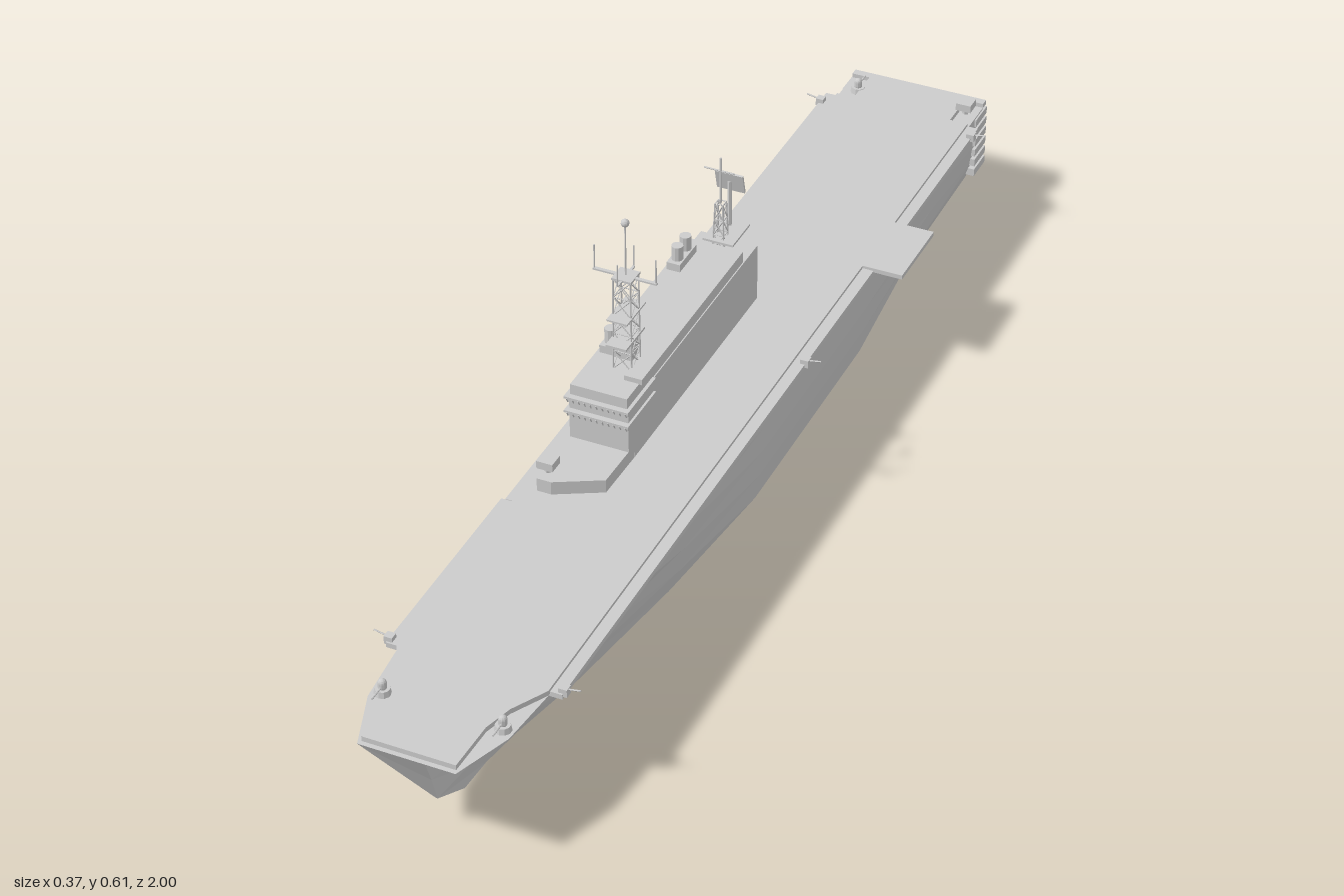
import * as THREE from 'three';

const CX = -0.013; // hull centreline
const mat = new THREE.MeshStandardMaterial({ color: 0xcccccc, flatShading: true, side: THREE.DoubleSide });

export function createModel() {
  const model = new THREE.Group();
  model.name = 'assaultShip';

  const add = (geo, name, x = 0, y = 0, z = 0, parent = model) => {
    const m = new THREE.Mesh(geo, mat);
    m.name = name;
    m.position.set(x, y, z);
    parent.add(m);
    return m;
  };
  // box from its limits
  const box = (name, x0, x1, y0, y1, z0, z1) =>
    add(new THREE.BoxGeometry(x1 - x0, y1 - y0, z1 - z0), name, (x0 + x1) / 2, (y0 + y1) / 2, (z0 + z1) / 2);
  // plate with an outline of [x, z] points
  const plate = (name, pts, y0, y1) => {
    const shape = new THREE.Shape(pts.map(([x, z]) => new THREE.Vector2(x, -z)));
    const geo = new THREE.ExtrudeGeometry(shape, { depth: y1 - y0, bevelEnabled: false });
    return add(geo.rotateX(-Math.PI / 2), name, 0, y0, 0);
  };
  // thin rod between two points
  const rod = (name, a, b, r = 0.0015) => {
    const p = new THREE.Vector3(...a), q = new THREE.Vector3(...b);
    const d = q.clone().sub(p);
    const m = add(new THREE.CylinderGeometry(r, r, d.length(), 5), name);
    m.position.copy(p).add(q).multiplyScalar(0.5);
    m.quaternion.setFromUnitVectors(new THREE.Vector3(0, 1, 0), d.normalize());
    return m;
  };

  // Hull: half-widths per station from deck edge down to keel
  const stations = [
    [1.0, 0.08, 0.03, 0.002, 0.001, 0.001, 0.001],
    [0.9, 0.116, 0.06, 0.03, 0.015, 0.01, 0.004],
    [0.78, 0.127, 0.09, 0.06, 0.035, 0.027, 0.016],
    [0.55, 0.127, 0.116, 0.095, 0.075, 0.062, 0.048],
    [0.28, 0.127, 0.125, 0.12, 0.113, 0.104, 0.085],
    [0.0, 0.127, 0.127, 0.126, 0.124, 0.12, 0.113],
    [-0.45, 0.127, 0.127, 0.126, 0.124, 0.12, 0.113],
    [-0.75, 0.127, 0.127, 0.126, 0.123, 0.117, 0.1],
    [-0.985, 0.127, 0.127, 0.126, 0.124, 0.12, 0.11],
  ];
  const heights = [1, 0.88, 0.75, 0.5, 0.25, 0];
  const stem = [1, 0.975, 0.95, 0.93, 0.915, 0.83];
  const n = heights.length * 2;
  const pos = [], idx = [];
  stations.forEach(([z, ...w]) => {
    const keel = z < -0.42 ? ((-0.42 - z) / 0.565) * 0.06 : 0;
    const point = (k, side) => {
      let pz = z > 0.5 ? 0.5 + (z - 0.5) * (stem[k] - 0.5) * 2 : z;
      if (z < -0.9) pz += (1 - heights[k]) * 0.025;
      pos.push(CX + side * w[k], keel + (0.195 - keel) * heights[k], pz);
    };
    for (let k = 0; k < 6; k++) point(k, -1);
    for (let k = 5; k >= 0; k--) point(k, 1);
  });
  for (let s = 0; s < stations.length - 1; s++)
    for (let k = 0; k < n; k++) {
      const a = s * n + k, b = s * n + (k + 1) % n, c = a + n, d = b + n;
      idx.push(a, c, b, b, c, d);
    }
  const last = (stations.length - 1) * n;
  for (let k = 1; k < n - 1; k++) {
    idx.push(0, k, k + 1);
    idx.push(last, last + k + 1, last + k);
  }
  const hullGeo = new THREE.BufferGeometry();
  hullGeo.setAttribute('position', new THREE.Float32BufferAttribute(pos, 3));
  hullGeo.setIndex(idx);
  hullGeo.computeVertexNormals();
  add(hullGeo, 'hull');

  // Flight deck, catwalks and deck-edge lift
  plate('flightDeck', [
    [-0.09, 0.992], [0.064, 0.992], [0.066, 0.9], [0.08, 0.85], [0.113, 0.79], [0.113, -0.91],
    [0.08, -0.91], [0.08, -0.985], [-0.106, -0.985], [-0.106, -0.91], [-0.139, -0.91], [-0.139, 0.79],
    [-0.106, 0.85], [-0.092, 0.9],
  ], 0.193, 0.204);
  box('catwalk', -0.16, -0.13, 0.19, 0.199, -0.91, -0.4);
  box('catwalk', -0.153, -0.13, 0.193, 0.2, -0.4, 0.4);
  box('catwalk', -0.16, -0.13, 0.19, 0.199, 0.4, 0.785);
  box('catwalk', 0.1, 0.133, 0.19, 0.199, -0.91, 0.785);
  box('deckEdgeLift', 0.11, 0.185, 0.196, 0.204, -0.565, -0.42);

  // Stern: gate, cross beams and stepped corner posts
  box('sternRail', -0.14, 0.114, 0.194, 0.203, -1.0, -0.985);
  box('sternBeam', -0.12, 0.094, 0.115, 0.125, -0.995, -0.97);
  box('sternGate', -0.07, 0.044, 0.135, 0.18, -0.989, -0.975);
  for (const side of [-1, 1])
    for (let i = 0; i < 6; i++) {
      const x = CX + side * 0.12, y = 0.073 + i * 0.021;
      box('sternCornerStep', x - 0.01, x + 0.01, y, y + 0.014, -0.998, -0.945);
    }

  // Island
  box('islandBase', -0.115, -0.012, 0.2, 0.31, -0.26, 0.225);
  box('islandUpperDeck', -0.113, -0.014, 0.31, 0.331, -0.205, 0.245);
  plate('islandFrontDeck', [[-0.115, 0.22], [-0.012, 0.22], [-0.014, 0.325], [-0.09, 0.365], [-0.115, 0.365]], 0.2, 0.228);
  box('islandAftHouse', -0.095, -0.035, 0.2, 0.265, -0.28, -0.25);
  box('bridgeFace', -0.115, -0.012, 0.228, 0.31, 0.22, 0.245);
  for (const y of [0.273, 0.3]) {
    // flared window band with mullions
    plate('bridgeWing', [[-0.12, 0.15], [-0.008, 0.15], [-0.008, 0.255], [-0.12, 0.255]], y + 0.008, y + 0.012);
    box('bridgeWindows', -0.117, -0.011, y, y + 0.008, 0.155, 0.25);
    for (let i = 0; i < 11; i++) {
      const x = -0.115 + i * 0.0102;
      rod('windowMullion', [x, y, 0.25], [x, y + 0.009, 0.255], 0.0012);
    }
  }
  box('flagPlatform', -0.04, -0.009, 0.33, 0.34, 0.1, 0.2);
  for (const z of [0.115, -0.14]) {
    box('funnelHousing', -0.108, -0.084, 0.33, 0.345, z - 0.033, z + 0.033);
    for (const dz of [-0.016, 0.016])
      add(new THREE.CylinderGeometry(0.01, 0.01, 0.04, 10), 'funnel', -0.096, 0.351, z + dz);
  }

  // Lattice mast
  const lattice = (name, cx, cz, r0, r1, y0, y1, bays) => {
    const ring = (i) => {
      const t = i / bays, r = r0 + (r1 - r0) * t, y = y0 + (y1 - y0) * t;
      return [[-1, -1], [1, -1], [1, 1], [-1, 1]].map(([sx, sz]) => [cx + sx * r, y, cz + sz * r]);
    };
    for (let i = 0; i < bays; i++) {
      const lo = ring(i), hi = ring(i + 1);
      for (let k = 0; k < 4; k++) {
        const next = (k + 1) % 4;
        rod(name + 'Leg', lo[k], hi[k]);
        rod(name + 'Rung', hi[k], hi[next], 0.001);
        rod(name + 'Brace', lo[k], hi[next], 0.001);
        rod(name + 'Brace', lo[next], hi[k], 0.001);
      }
    }
  };
  const MX = -0.054, MZ = 0.16;
  lattice('mainMast', MX, MZ, 0.016, 0.015, 0.33, 0.5, 5);
  box('mastCabin', -0.082, -0.05, 0.33, 0.387, 0.125, 0.15);
  box('mastPlatform', -0.072, -0.036, 0.432, 0.435, 0.125, 0.195);
  box('mastPlatform', -0.072, -0.036, 0.386, 0.39, 0.13, 0.2);
  box('mastTop', -0.071, -0.037, 0.499, 0.503, 0.143, 0.177);
  box('yardArm', -0.11, 0, 0.499, 0.502, 0.157, 0.163);
  box('yardArm', MX - 0.002, MX + 0.002, 0.499, 0.502, 0.13, 0.19);
  for (const x of [-0.108, -0.002]) rod('whipAntenna', [x, 0.5, MZ], [x, 0.545, MZ], 0.0014);
  for (const z of [0.13, 0.19]) rod('whipAntenna', [MX, 0.5, z], [MX, 0.54, z], 0.0012);
  rod('mastPole', [MX, 0.5, MZ], [MX, 0.595, MZ]);
  add(new THREE.SphereGeometry(0.007, 10, 8), 'mastBall', MX, 0.6, MZ);

  // Aft mast with radar panel
  lattice('aftMast', -0.065, -0.228, 0.01, 0.007, 0.31, 0.4, 3);
  rod('aftMastPole', [-0.065, 0.4, -0.228], [-0.065, 0.487, -0.228], 0.002);
  rod('aftYard', [-0.095, 0.462, -0.228], [-0.04, 0.462, -0.228]);
  rod('radarPost', [-0.065, 0.265, -0.265], [-0.065, 0.42, -0.265], 0.004);
  box('aftMastPlatform', -0.09, -0.035, 0.33, 0.334, -0.28, -0.21);
  const radar = box('radarPanel', -0.09, -0.04, 0.4, 0.438, -0.268, -0.264);
  radar.rotation.x = 0.25;
  rod('radarFeed', [-0.065, 0.405, -0.265], [-0.065, 0.41, -0.29]);

  // Gun mounts at bow and stern corners
  const gun = (x, z, dir) => {
    const g = new THREE.Group();
    g.name = 'gunMount';
    g.position.set(x, 0.195, z);
    model.add(g);
    add(new THREE.CylinderGeometry(0.012, 0.014, 0.01, 10), 'gunBase', 0, 0.005, 0, g);
    add(new THREE.CapsuleGeometry(0.007, 0.008, 4, 10), 'gunDome', 0, 0.016, 0, g);
    add(new THREE.CylinderGeometry(0.0016, 0.0016, 0.03, 6).rotateX(Math.PI / 2), 'gunBarrel', 0, 0.014, dir * 0.018, g);
  };
  gun(-0.112, 0.885, 1);
  gun(0.086, 0.885, 1);
  gun(-0.112, -0.945, -1);

  // Box launchers
  const launcher = (x, y, z) => {
    rod('launcherPost', [x, y, z], [x, y + 0.014, z], 0.006);
    box('launcherBox', x - 0.014, x + 0.014, y + 0.011, y + 0.025, z - 0.014, z + 0.014);
  };
  launcher(0.094, 0.199, -0.95);
  launcher(-0.104, 0.232, 0.345);

  // Deck-edge antennas
  for (const z of [-0.88, -0.13, 0.775])
    for (const side of [-1, 1]) {
      const x = CX + side * 0.145;
      box('antennaMount', x - 0.007, x + 0.007, 0.193, 0.207, z - 0.007, z + 0.007);
      rod('edgeAntenna', [x, 0.203, z], [CX + side * 0.172, 0.208, z], 0.0014);
    }

  return model;
}
